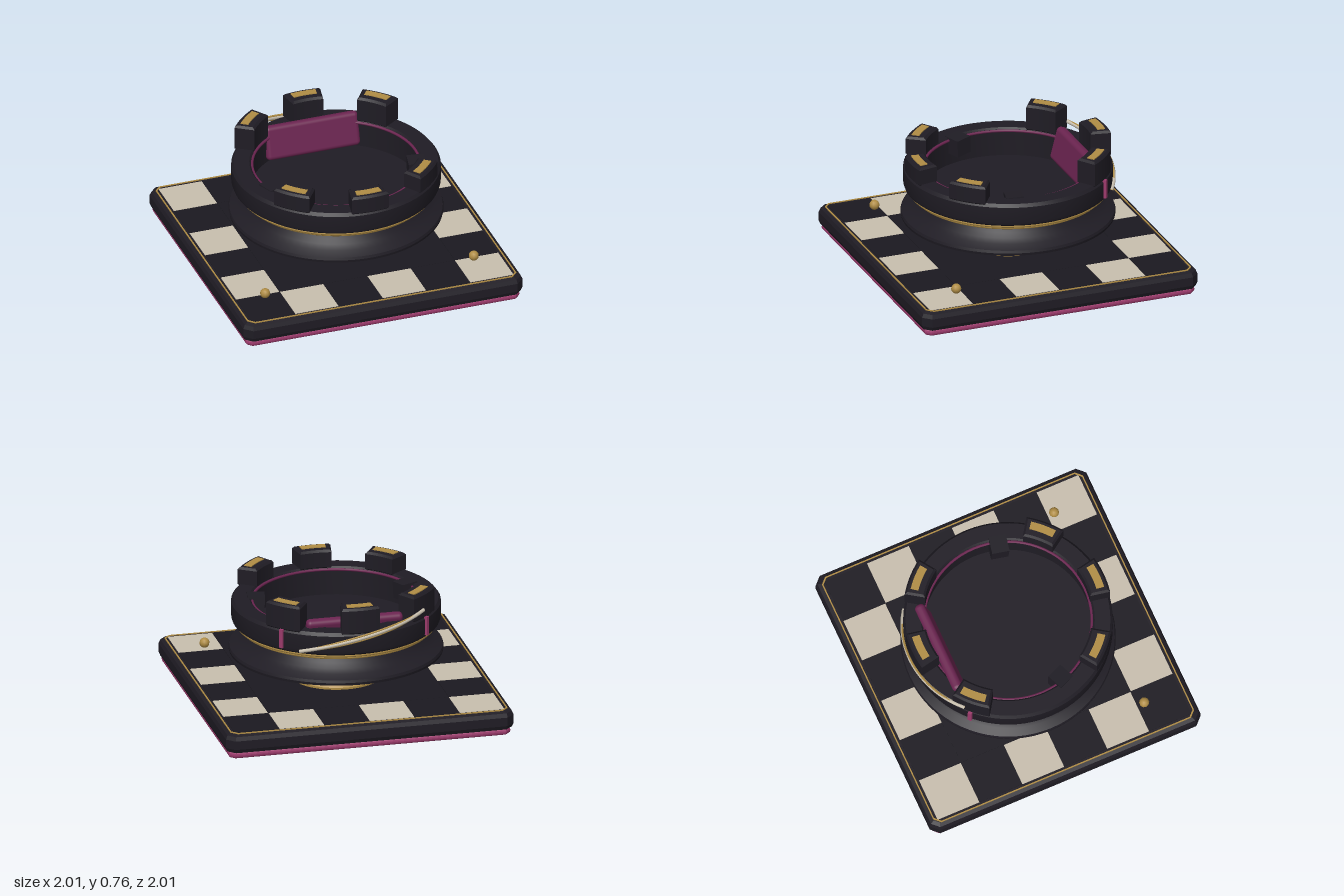
import * as THREE from 'three';
import { toCreasedNormals } from 'three/addons/utils/BufferGeometryUtils.js';
import { RoundedBoxGeometry } from 'three/addons/geometries/RoundedBoxGeometry.js';

const paint = (color) => new THREE.MeshStandardMaterial({ color });
const DARK = paint(0x1f1c24);
const TILE_DARK = paint(0x1b1920);
const CREAM = paint(0xc8bfae);
const GOLD = paint(0xb08d45);
const PINK = paint(0x9c3a6c);
const PLUM = paint(0x6b2450);

export function createModel() {
  const model = new THREE.Group();
  const root = new THREE.Group();
  root.name = 'turnedBoard';
  root.rotation.y = 0.248;
  model.add(root);

  const add = (name, geometry, material, x = 0, y = 0, z = 0) => {
    const mesh = new THREE.Mesh(geometry, material);
    mesh.name = name;
    mesh.position.set(x, y, z);
    root.add(mesh);
    return mesh;
  };

  // Square outline with cut corners
  const cutSquare = (a, c, Kind = THREE.Shape) => new Kind([
    [a, c - a], [a, a - c], [a - c, a], [c - a, a],
    [-a, a - c], [-a, c - a], [c - a, -a], [a - c, -a],
  ].map(([x, y]) => new THREE.Vector2(x, y)));

  // Flat outline turned into a lying plate of height h with bevel b, base at y = 0
  const plate = (shape, h, b, segments = 1) => {
    const g = new THREE.ExtrudeGeometry(shape, {
      depth: h - 2 * b, bevelEnabled: b > 0, bevelSize: b, bevelThickness: b,
      bevelOffset: -b, bevelSegments: segments, curveSegments: 12,
    });
    return g.translate(0, 0, b).rotateX(-Math.PI / 2);
  };

  // Curved block outline centred on +x
  const arcBlock = (r0, r1, half) => {
    const s = new THREE.Shape();
    s.absarc(0, 0, r1, -half, half, false);
    s.absarc(0, 0, r0, half, -half, true);
    return s;
  };

  const lathe = (points) => toCreasedNormals(
    new THREE.LatheGeometry(points.map(([r, y]) => new THREE.Vector2(r, y)), 72), 0.5);

  const ring = (name, r, tube, y, material) =>
    add(name, new THREE.TorusGeometry(r, tube, 8, 72).rotateX(Math.PI / 2), material, 0, y, 0);

  // Board: underside, slab and thin inlaid border
  add('underside', plate(cutSquare(0.818, 0.03), 0.038, 0.016, 3), PINK);
  add('boardSlab', plate(cutSquare(0.836, 0.045), 0.115, 0.032, 2), DARK, 0, 0.03, 0);
  const border = cutSquare(0.806, 0.035);
  border.holes.push(cutSquare(0.799, 0.033, THREE.Path));
  add('borderInlay', plate(border, 0.008, 0), GOLD, 0, 0.142, 0);

  // Ring of chequered tiles around a plain centre
  const step = 0.262;
  const tile = new THREE.BoxGeometry(step - 0.004, 0.008, step - 0.004);
  for (let row = 0; row < 6; row++) {
    for (let col = 0; col < 6; col++) {
      if (row % 5 && col % 5) continue;
      const light = (row + col) % 2 === 0;
      add(light ? 'lightTile' : 'darkTile', tile, light ? CREAM : TILE_DARK,
        (col - 2.5) * step, 0.144, (row - 2.5) * step);
    }
  }
  add('centrePanel', new THREE.BoxGeometry(step * 4, 0.008, step * 4), TILE_DARK, 0, 0.144, 0);

  // Tower foot, flared body and hollow crown
  add('footCollar', lathe([[0.27, 0.14], [0.272, 0.16], [0.262, 0.175], [0.24, 0.185]]), GOLD);
  add('towerBody', lathe([
    [0.2, 0.175], [0.262, 0.178], [0.605, 0.3], [0.608, 0.315], [0.603, 0.33],
    [0.56, 0.352], [0.53, 0.375], [0.51, 0.4], [0.497, 0.42], [0.51, 0.435], [0.53, 0.445],
  ]), DARK);
  add('crownWall', lathe([
    [0.48, 0.44], [0.53, 0.45], [0.57, 0.47], [0.586, 0.482], [0.592, 0.5], [0.592, 0.59],
    [0.578, 0.608], [0.49, 0.608], [0.48, 0.598], [0.48, 0.44], [0, 0.44],
  ]), DARK);
  ring('lowerGoldBand', 0.537, 0.012, 0.446, GOLD);
  ring('upperGoldBand', 0.557, 0.012, 0.464, GOLD);
  ring('innerRimBand', 0.474, 0.008, 0.592, PLUM);

  // Battlements; two of the eight are missing, the rear ones are taller
  for (let i = 0; i < 8; i++) {
    if (i % 4 === 0) continue;
    const top = i > 4 ? 0.752 : 0.708;
    const turn = -i * Math.PI / 4;
    add('battlement', toCreasedNormals(plate(arcBlock(0.475, 0.592, 0.19), top - 0.595, 0.012), 0.5),
      DARK, 0, 0.595, 0).rotation.y = turn;
    add('battlementInlay', plate(arcBlock(0.52, 0.565, 0.133), 0.01, 0),
      GOLD, 0, top - 0.005, 0).rotation.y = turn;
  }

  // Broken pieces at the two gaps
  for (const angle of [0.3, 2.85]) {
    const chunk = add('brokenPiece', new THREE.BoxGeometry(0.1, 0.1, 0.1), DARK,
      0.455 * Math.cos(angle), 0.563, 0.455 * Math.sin(angle));
    chunk.rotation.set(0.06, 0.1 - angle, 0.05);
  }

  // Leaning padded rest inside the crown
  add('paddedRest', new RoundedBoxGeometry(0.56, 0.2, 0.06, 4, 0.025), PLUM, 0, 0.552, -0.41)
    .rotation.x = -0.25;

  // Upright markers on the rear of the wall
  for (const angle of [-Math.PI / 4, -3 * Math.PI / 4]) {
    add('wallMarker', new THREE.BoxGeometry(0.022, 0.11, 0.022), PINK,
      0.595 * Math.cos(angle), 0.55, 0.595 * Math.sin(angle)).rotation.y = -angle;
  }

  // Rising ribbon across the rear of the wall, edged in gold
  const ribbon = (name, radius, lift, material) => {
    const points = [];
    for (let i = 0; i <= 12; i++) {
      const t = i / 12;
      const a = THREE.MathUtils.degToRad(-56 - 76 * t);
      points.push(new THREE.Vector3(0.597 * Math.cos(a),
        0.49 + 0.165 * t + lift * Math.sin(Math.PI * t), 0.597 * Math.sin(a)));
    }
    add(name, new THREE.TubeGeometry(new THREE.CatmullRomCurve3(points), 48, radius, 8), material);
  };
  ribbon('ribbon', 0.011, 0.012, CREAM);
  ribbon('ribbonUpperEdge', 0.006, 0.025, GOLD);
  ribbon('ribbonLowerEdge', 0.006, -0.001, GOLD);

  // Beads on the two front corners
  for (const side of [-1, 1]) {
    add('bead', new THREE.SphereGeometry(0.029, 10, 8), GOLD, side * 0.625, 0.18, 0.563);
  }

  return model;
}
